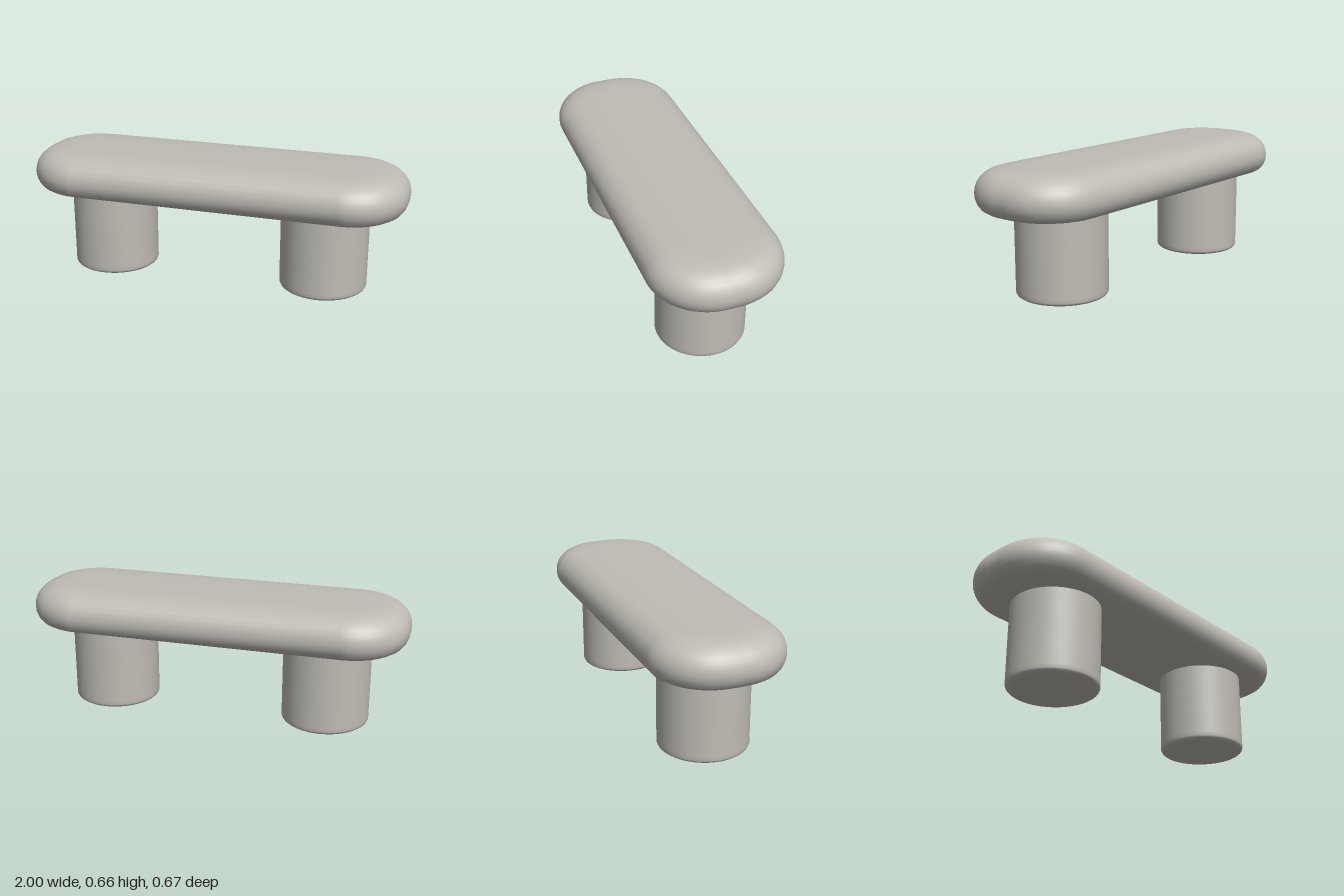
import * as THREE from 'three';

const CORNER = 0.3;      // outline corner radius
const CORE_X = 0.7;      // corner centres
const CORE_Z = 0.037;
const STEPS = 14;        // segments per corner

// Pillow-like slab: the rounded outline is inset ring by ring along a profile
function cushionGeometry(profile) {
  const positions = [];
  const indices = [];
  const corners = [[1, 1], [-1, 1], [-1, -1], [1, -1]];
  const ringSize = 4 * (STEPS + 1);
  for (const [halfDepth, y] of profile) {
    const r = Math.max(0.002, CORNER - (CORE_X + CORNER - 1) - (0.337 - halfDepth));
    corners.forEach(([sx, sz], q) => {
      for (let i = 0; i <= STEPS; i++) {
        const a = (q + i / STEPS) * Math.PI / 2;
        positions.push(sx * CORE_X + r * Math.cos(a), y, sz * CORE_Z + r * Math.sin(a));
      }
    });
  }
  for (let k = 0; k < profile.length - 1; k++) {
    for (let i = 0; i < ringSize; i++) {
      const a = k * ringSize + i;
      const b = k * ringSize + (i + 1) % ringSize;
      indices.push(a, a + ringSize, b, b, a + ringSize, b + ringSize);
    }
  }
  // close the underside and the top
  const bottom = positions.length / 3;
  positions.push(0, profile[0][1], 0, 0, profile[profile.length - 1][1], 0);
  const last = (profile.length - 1) * ringSize;
  for (let i = 0; i < ringSize; i++) {
    const j = (i + 1) % ringSize;
    indices.push(bottom, i, j, bottom + 1, last + j, last + i);
  }
  const geometry = new THREE.BufferGeometry();
  geometry.setAttribute('position', new THREE.Float32BufferAttribute(positions, 3));
  geometry.setIndex(indices);
  geometry.computeVertexNormals();
  return geometry;
}

export function createModel() {
  const group = new THREE.Group();
  group.name = 'bench';
  const stone = new THREE.MeshStandardMaterial({ color: 0xbfbcb4 });
  stone.name = 'warm grey';

  // Seat: [half depth, height] from the underside to the top
  const seat = new THREE.Mesh(cushionGeometry([
    [0.1, 0.442], [0.2, 0.441], [0.255, 0.442], [0.285, 0.449], [0.308, 0.463], [0.325, 0.485],
    [0.335, 0.512], [0.337, 0.537], [0.334, 0.562], [0.325, 0.588], [0.309, 0.61],
    [0.287, 0.63], [0.26, 0.644], [0.23, 0.653], [0.17, 0.66], [0.1, 0.661],
  ]), stone);
  seat.name = 'seat';
  group.add(seat);

  // Legs: round pillars with a softened lower edge
  const legProfile = [
    [0, 0], [0.19, 0], [0.204, 0.001], [0.216, 0.005], [0.224, 0.011],
    [0.228, 0.02], [0.228, 0.04], [0.228, 0.47],
  ].map(([r, y]) => new THREE.Vector2(r, y));
  const legGeometry = new THREE.LatheGeometry(legProfile, 48);
  for (const [name, x, y] of [['rightLeg', -0.586, 0.002], ['leftLeg', 0.581, 0.007]]) {
    const leg = new THREE.Mesh(legGeometry, stone);
    leg.name = name;
    leg.position.set(x, y, 0.002);
    group.add(leg);
  }
  return group;
}
